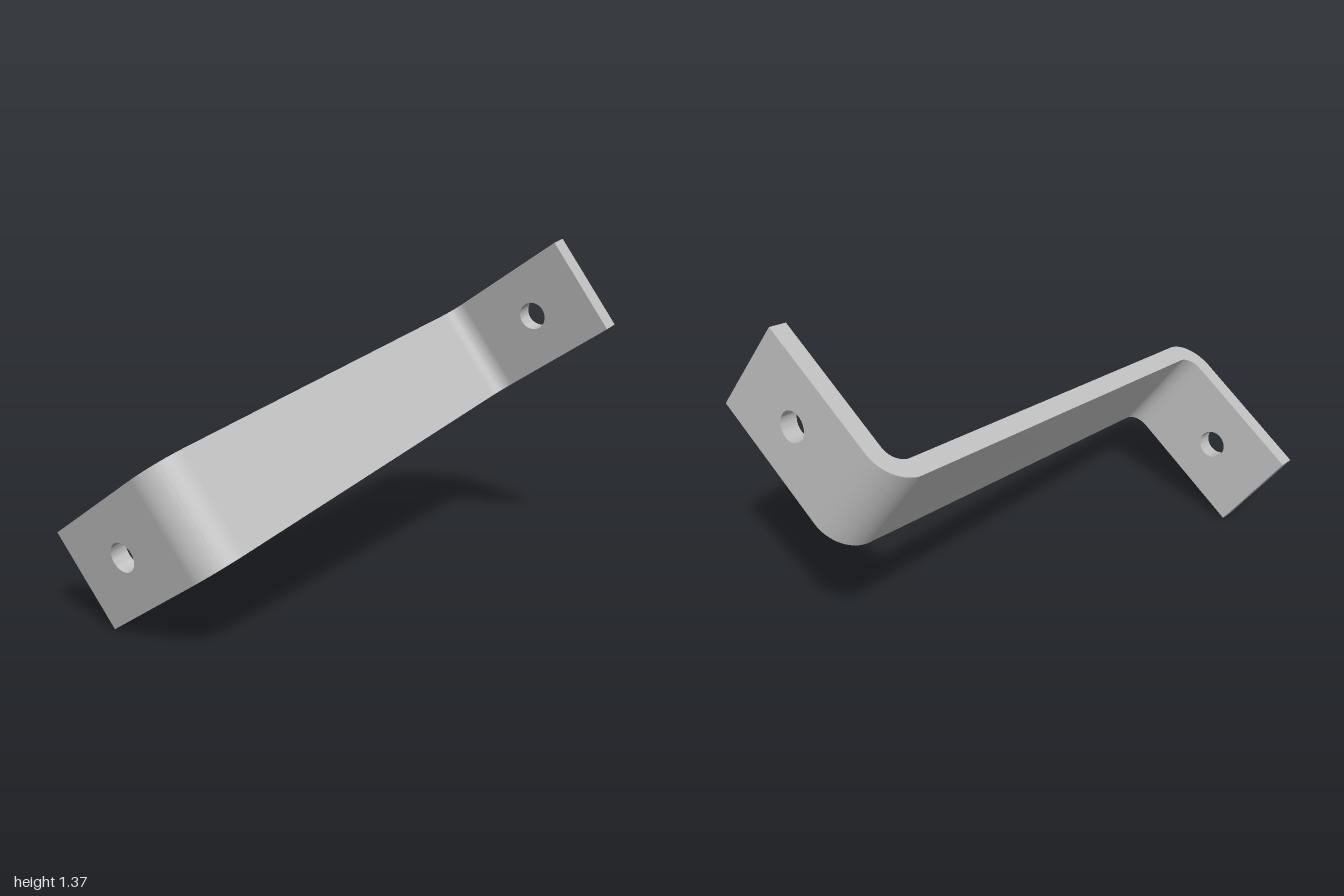
import * as THREE from 'three';
import { toCreasedNormals } from 'three/addons/utils/BufferGeometryUtils.js';

const REACH = 0.982;   // half distance between the outer flange faces
const HALF_W = 0.21;   // half strip width
const T = 0.074;       // strip thickness
const R_OUT = 0.148, R_IN = R_OUT - T;
const TIP = 0.663;     // flange end
const HOLE_AT = 0.387, HOLE_R = 0.059;

const bendX = REACH - R_OUT, bendY = R_OUT - T / 2;

function extrude(shape, depth) {
  const g = new THREE.ExtrudeGeometry(shape, { depth, bevelEnabled: false, curveSegments: 20 });
  g.translate(0, 0, -depth / 2);
  return toCreasedNormals(g, 0.6);
}

export function createModel() {
  const steel = new THREE.MeshStandardMaterial({ color: 0xc0c0c0 });
  steel.name = 'light grey steel';
  const bracket = new THREE.Group();
  bracket.name = 'bracket';

  // Long web with both rounded bends, as one S-shaped profile
  const H = Math.PI / 2;
  const profile = new THREE.Shape();
  profile.moveTo(-bendX, -T / 2);
  profile.lineTo(bendX, -T / 2);
  profile.absarc(bendX, bendY, R_OUT, -H, 0, false);
  profile.lineTo(REACH - T, bendY);
  profile.absarc(bendX, bendY, R_IN, 0, -H, true);
  profile.lineTo(-bendX, T / 2);
  profile.absarc(-bendX, -bendY, R_OUT, H, 2 * H, false);
  profile.lineTo(-REACH + T, -bendY);
  profile.absarc(-bendX, -bendY, R_IN, 2 * H, H, true);
  const web = new THREE.Mesh(extrude(profile, 2 * HALF_W).rotateX(H), steel);
  web.name = 'webWithBends';
  bracket.add(web);

  // Flat end flanges, each with a bolt hole
  const plate = new THREE.Shape();
  plate.moveTo(bendY, -HALF_W);
  plate.lineTo(TIP, -HALF_W);
  plate.lineTo(TIP, HALF_W);
  plate.lineTo(bendY, HALF_W);
  plate.closePath();
  plate.holes.push(new THREE.Path().absarc(HOLE_AT, 0, HOLE_R, 0, 4 * H, true));
  const plateGeometry = extrude(plate, T).rotateY(-H).translate(REACH - T / 2, 0, 0);
  ['leftFlange', 'rightFlange'].forEach((name, i) => {
    const flange = new THREE.Mesh(plateGeometry, steel);
    flange.name = name;
    flange.rotation.y = i * Math.PI;
    bracket.add(flange);
  });

  // Tilt the whole bracket: web along x, width along y, flanges along z
  const along = new THREE.Vector3(0.984, 0.155, -0.085).normalize();
  const out = new THREE.Vector3(-0.012, 0.538, 0.842);
  out.addScaledVector(along, -out.dot(along)).normalize();
  const across = new THREE.Vector3().crossVectors(out, along);
  bracket.quaternion.setFromRotationMatrix(new THREE.Matrix4().makeBasis(along, across, out));
  bracket.position.y = 0.683;

  const model = new THREE.Group();
  model.name = 'offsetBracket';
  model.add(bracket);
  return model;
}
